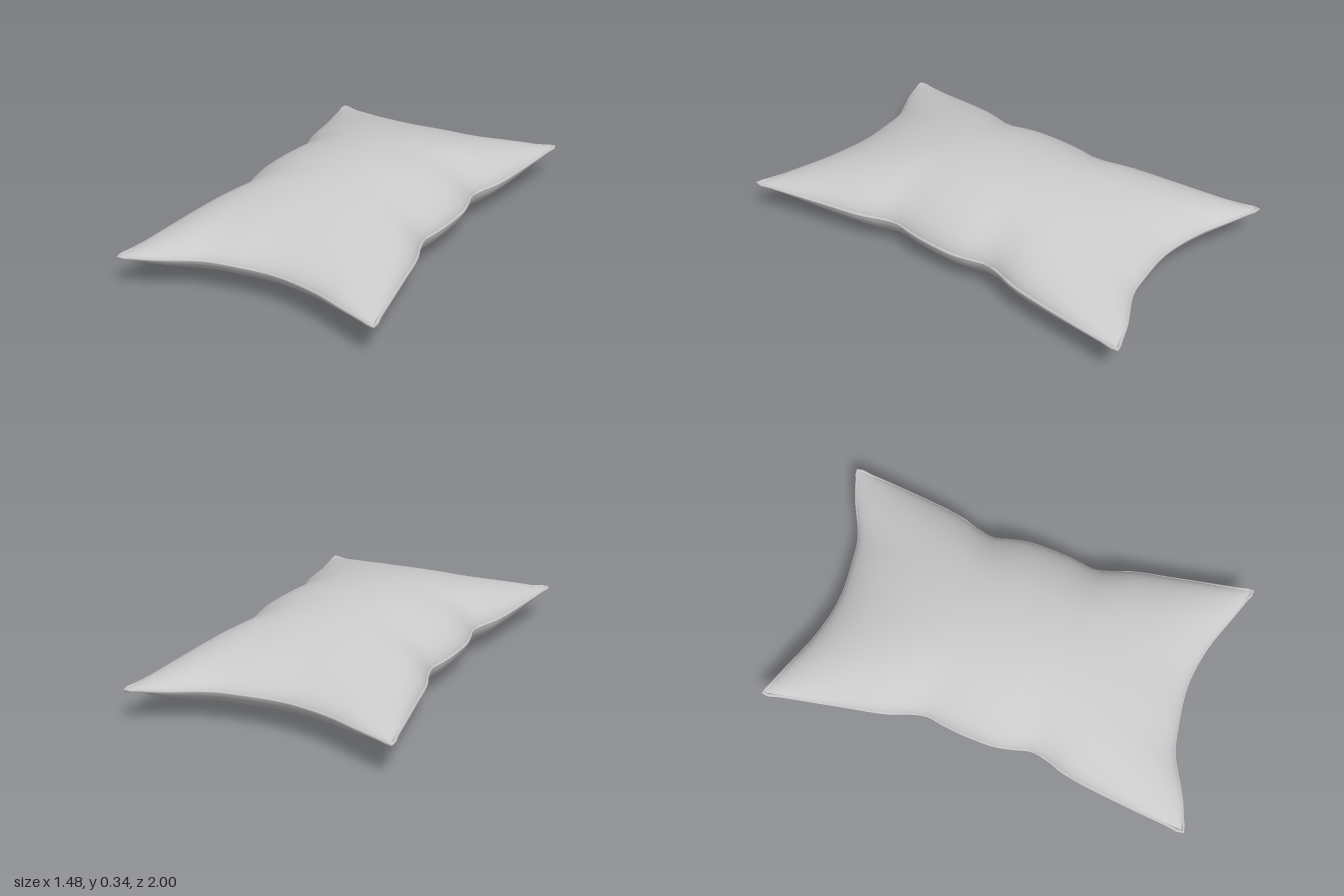
import * as THREE from 'three';

const SEAM_Y = 0.142;
const N = 40;

const edge = (pts) => new THREE.CatmullRomCurve3(pts.map(([x, z]) => new THREE.Vector3(x, 0, z)), false, 'centripetal');

// Two seam edges; the other two are the same edges turned half a circle
const back = edge([[-0.74, -0.74], [-0.58, -0.72], [-0.42, -0.7], [-0.23, -0.71], [-0.04, -0.77],
  [0.05, -0.81], [0.2, -0.93], [0.31, -1]]);
const right = edge([[0.31, -1], [0.335, -0.8], [0.36, -0.5], [0.35, -0.33], [0.41, -0.2], [0.45, 0],
  [0.46, 0.13], [0.54, 0.27], [0.6, 0.41], [0.74, 0.74]]);
const backAt = (t) => back.getPointAt(t);
const rightAt = (t) => right.getPointAt(t);
const frontAt = (t) => backAt(1 - t).negate();
const leftAt = (t) => rightAt(1 - t).negate();

// Point of the flat cloth, blended between the four seam edges
function clothPoint(s, t) {
  const p = new THREE.Vector3();
  p.addScaledVector(backAt(s), 1 - t).addScaledVector(frontAt(s), t);
  p.addScaledVector(leftAt(t), 1 - s).addScaledVector(rightAt(t), s);
  p.addScaledVector(backAt(0), -(1 - s) * (1 - t)).addScaledVector(backAt(1), -s * (1 - t));
  p.addScaledVector(frontAt(0), -(1 - s) * t).addScaledVector(frontAt(1), -s * t);
  return p;
}

// One puffed half: height is signed, a higher power gives a flatter middle
function clothHalf(name, height, power, material) {
  const pos = [], index = [];
  const puff = (a) => Math.max(0, 1 - Math.abs(a) ** power);
  for (let j = 0; j <= N; j++) {
    for (let i = 0; i <= N; i++) {
      // Rows crowd toward the seam, where the cloth curves most
      const u = Math.sin((i / N - 0.5) * Math.PI), v = Math.sin((j / N - 0.5) * Math.PI);
      const p = clothPoint((u + 1) / 2, (v + 1) / 2);
      pos.push(p.x, SEAM_Y + height * (puff(u) * puff(v)) ** 0.6, p.z);
    }
  }
  for (let j = 0; j < N; j++) {
    for (let i = 0; i < N; i++) {
      const a = j * (N + 1) + i, b = a + 1, c = a + N + 1, d = c + 1;
      if (height > 0) index.push(a, c, b, b, c, d);
      else index.push(a, b, c, b, d, c);
    }
  }
  const geo = new THREE.BufferGeometry();
  geo.setAttribute('position', new THREE.Float32BufferAttribute(pos, 3));
  geo.setIndex(index);
  geo.computeVertexNormals();
  const mesh = new THREE.Mesh(geo, material);
  mesh.name = name;
  return mesh;
}

export function createModel() {
  const group = new THREE.Group();
  group.name = 'pillow';
  const material = new THREE.MeshStandardMaterial({ color: 0xcccccc, roughness: 0.9, side: THREE.DoubleSide });

  group.add(clothHalf('topCloth', 0.2, 2, material));
  group.add(clothHalf('bottomCloth', -SEAM_Y, 3.5, material));

  // Thin piping around the seam
  const loop = [];
  const sides = [backAt, rightAt, (t) => frontAt(1 - t), (t) => leftAt(1 - t)];
  for (const side of sides) {
    for (let i = 0; i < 24; i++) loop.push(side(i / 24).multiplyScalar(0.994).setY(SEAM_Y));
  }
  const path = new THREE.CatmullRomCurve3(loop, true, 'centripetal');
  const piping = new THREE.Mesh(new THREE.TubeGeometry(path, 240, 0.008, 6, true), material);
  piping.name = 'seamPiping';
  group.add(piping);

  return group;
}
